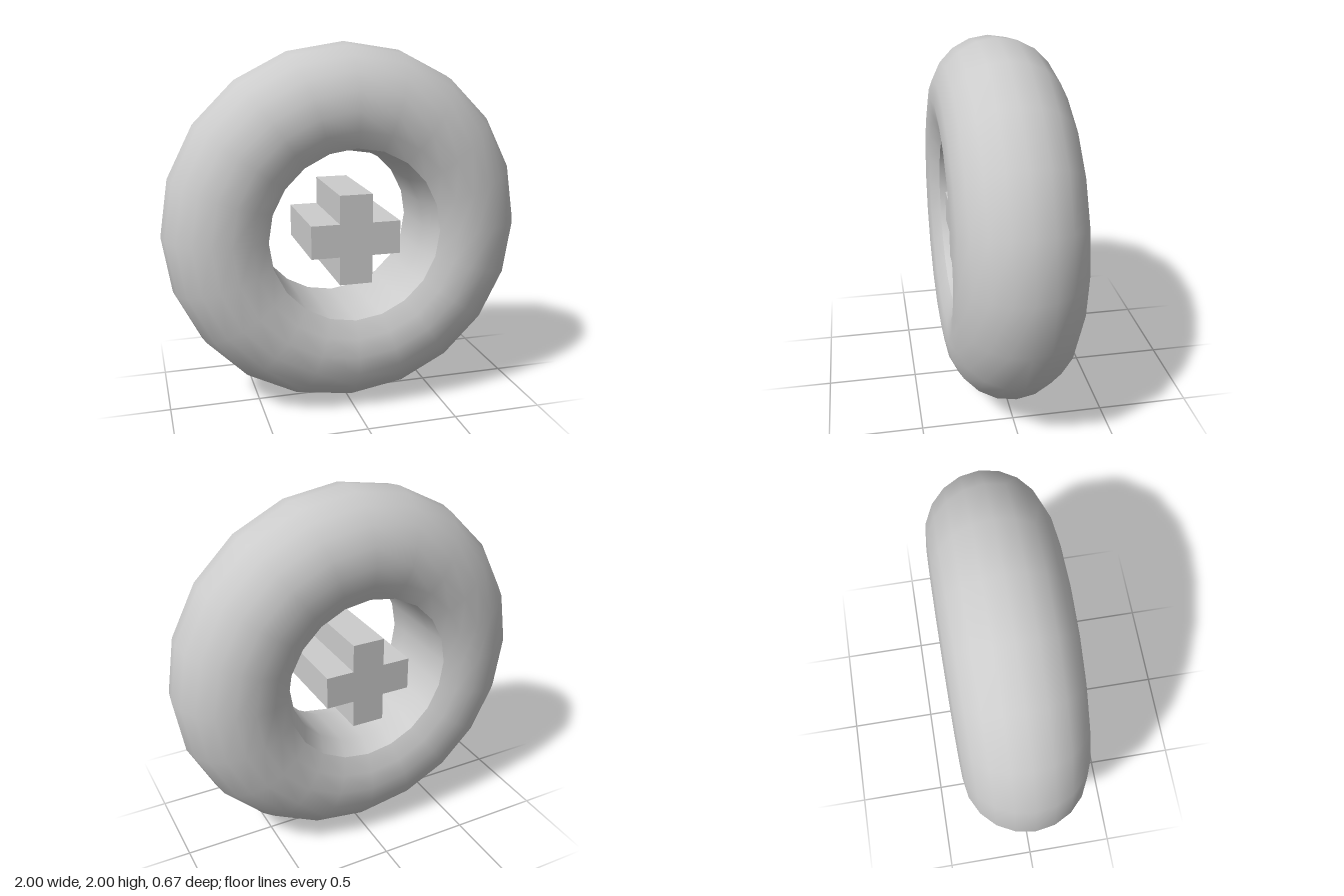
import * as THREE from 'three';

const SEGMENTS = 20;
const RING = 2 / 3; // ring centreline radius
const TUBE = 1 / 3; // tube radius
const STEP = Math.PI / 10;

function part(name, geometry, y) {
  const mesh = new THREE.Mesh(geometry, new THREE.MeshStandardMaterial({ color: 0xcccccc }));
  mesh.name = name;
  mesh.position.y = y;
  return mesh;
}

// Revolve a profile of (radius, depth) points about the z axis
function revolve(points) {
  return new THREE.LatheGeometry(points, SEGMENTS).rotateX(Math.PI / 2);
}

export function createModel() {
  const group = new THREE.Group();
  group.name = 'ringWithCross';

  // Rounded tyre, open on its inner side
  const profile = [];
  for (let i = -7; i <= 7; i++) {
    profile.push(new THREE.Vector2(RING + TUBE * Math.cos(i * STEP), TUBE * Math.sin(i * STEP)));
  }
  group.add(part('tyre', revolve(profile), 1));

  // Inner wall, narrowing slightly off-centre between the two rims
  const rim = profile[profile.length - 1];
  const wall = revolve([
    new THREE.Vector2(rim.x, rim.y),
    new THREE.Vector2(0.44, 0.15),
    new THREE.Vector2(0.44, -0.15),
    new THREE.Vector2(rim.x, -rim.y),
  ]);
  const pos = wall.attributes.position;
  for (let i = 0; i < pos.count; i++) {
    if (Math.abs(pos.getZ(i)) < 0.2) {
      pos.setX(i, pos.getX(i) - 0.027);
      pos.setY(i, pos.getY(i) + 0.005);
    }
  }
  group.add(part('innerWall', wall, 1));

  // Plus-shaped hub floating in the opening
  const a = 0.09;
  const b = 0.245;
  const outline = [
    [a, a], [a, b], [-a, b], [-a, a], [-b, a], [-b, -a],
    [-a, -a], [-a, -b], [a, -b], [a, -a], [b, -a], [b, a],
  ].map(([x, y]) => new THREE.Vector2(x, y));
  const depth = 0.52;
  const cross = new THREE.ExtrudeGeometry(new THREE.Shape(outline), { depth, bevelEnabled: false });
  cross.translate(0, 0, -depth / 2);
  group.add(part('crossHub', cross, 0.98));

  return group;
}
